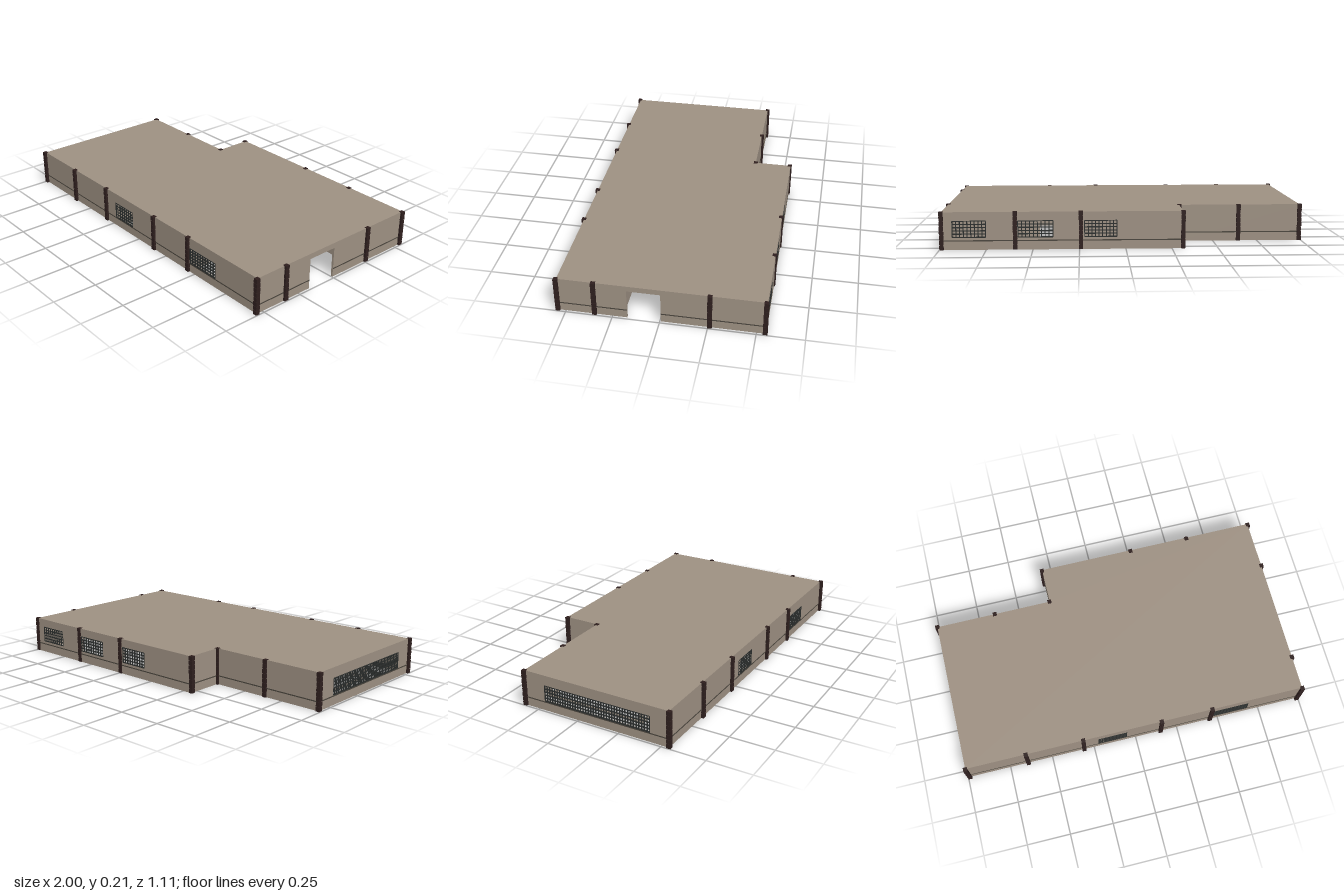
import * as THREE from 'three';
import { mergeGeometries } from 'three/addons/utils/BufferGeometryUtils.js';

export function createModel() {
  const model = new THREE.Group();
  const mat = (name, color) => new THREE.MeshStandardMaterial({ name, color });
  const stone = mat('taupe wall', 0x9d9082);
  const postMat = mat('dark brown post', 0x2e1f1e);
  const barMat = mat('charcoal bars', 0x2b2e2d);
  const bandMat = mat('grey band', 0x4a453d);

  const H = 0.2, T = 0.012;
  const E = 0.987, W = -0.988, F = 0.539, B = -0.55; // outer faces
  const NX = -0.308, NZ = -0.337; // notch corner

  // Box spanning a..b along an axis, centred on c across it
  const span = (axis, c, a, b, y0, y1, t) => {
    const g = axis === 'x'
      ? new THREE.BoxGeometry(b - a, y1 - y0, t)
      : new THREE.BoxGeometry(t, y1 - y0, b - a);
    const m = (a + b) / 2, y = (y0 + y1) / 2;
    return axis === 'x' ? g.translate(m, y, c) : g.translate(c, y, m);
  };
  const add = (name, parts, material) => {
    const mesh = new THREE.Mesh(mergeGeometries(parts), material);
    mesh.name = name;
    model.add(mesh);
  };

  // Wall pieces around openings given as [start, end, sill, head], in order
  const wallParts = (axis, c, a, b, openings = []) => {
    const parts = [];
    let at = a;
    for (const [s, e, sill, head] of openings) {
      if (s > at) parts.push(span(axis, c, at, s, 0, H, T));
      if (sill > 0) parts.push(span(axis, c, s, e, 0, sill, T));
      if (head < H) parts.push(span(axis, c, s, e, head, H, T));
      at = e;
    }
    if (b > at) parts.push(span(axis, c, at, b, 0, H, T));
    return parts;
  };

  // Window lattice of crossing bars
  const lattice = (axis, c, [a, b, y0, y1], pitch) => {
    const parts = [], w = 0.005;
    const cols = Math.round((b - a) / pitch), rows = 5;
    for (let i = 0; i <= cols; i++) {
      const p = a + (b - a) * i / cols;
      parts.push(span(axis, c, p - w / 2, p + w / 2, y0, y1, 0.005));
    }
    for (let j = 0; j <= rows; j++) {
      const y = y0 + (y1 - y0) * j / rows;
      parts.push(span(axis, c, a, b, y - w / 2, y + w / 2, 0.006));
    }
    return parts;
  };

  // Outer walls: out is the direction of the outside
  const outer = [
    { name: 'front', axis: 'x', face: F, out: 1, a: W, b: E, pitch: 0.02,
      holes: [[-0.22, -0.055, 0.055, 0.145], [0.465, 0.672, 0.055, 0.142]] },
    { name: 'back', axis: 'x', face: B, out: -1, a: NX, b: E, pitch: 0.02,
      holes: [[0.048, 0.222, 0.068, 0.156], [0.392, 0.58, 0.068, 0.156], [0.752, 0.93, 0.068, 0.156]] },
    { name: 'notchBack', axis: 'x', face: NZ, out: -1, a: W, b: NX, holes: [] },
    { name: 'notchSide', axis: 'z', face: NX, out: -1, a: B, b: NZ, holes: [] },
    { name: 'leftSide', axis: 'z', face: E, out: 1, a: B, b: F, holes: [[-0.005, 0.172, 0, 0.174]] },
    { name: 'rightSide', axis: 'z', face: W, out: -1, a: NZ, b: F, pitch: 0.016,
      holes: [[-0.21, 0.43, 0.055, 0.145]] },
  ];
  for (const { name, axis, face, out, a, b, holes, pitch } of outer) {
    add(name + 'Wall', wallParts(axis, face - out * T / 2, a, b, holes), stone);
    if (pitch) {
      add(name + 'WindowBars', holes.flatMap((h) => lattice(axis, face - out * 0.002, h, pitch)), barMat);
    }
    // Thin string course outside, broken at the doorway
    const door = holes.find((h) => h[2] === 0);
    const runs = door ? [[a, door[0]], [door[1], b]] : [[a, b]];
    add(name + 'Band', runs.map(([s, e]) => span(axis, face, s, e, 0.0465, 0.0525, 0.003)), bandMat);
  }

  // Flat L-shaped roof
  const outline = [[W, F], [E, F], [E, B], [NX, B], [NX, NZ], [W, NZ]];
  const shape = new THREE.Shape(outline.map(([x, z]) => new THREE.Vector2(x, -z)));
  const roof = new THREE.ExtrudeGeometry(shape, { depth: 0.005, bevelEnabled: false });
  roof.rotateX(-Math.PI / 2).translate(0, H, 0);
  add('roof', [roof], stone);

  // Inner partitions with doorways
  const D = 0.15;
  const partitions = [
    ['x', -0.18, -0.04, E, [[0.38, 0.48, 0, D]]],
    ['x', -0.055, NX, -0.04, [[-0.22, -0.12, 0, D]]],
    ['x', 0.2, -0.2, E, [[-0.1, 0, 0, D], [0.25, 0.34, 0, D], [0.62, 0.72, 0, D]]],
    ['z', -0.04, B, -0.055],
    ['z', 0.45, 0.2, F],
    ['z', 0.15, 0.2, F],
    ['z', 0.2, -0.18, 0.2, [[-0.14, -0.03, 0, D]]],
    ['z', -0.2, -0.055, F, [[0.28, 0.38, 0, D]]],
    ['z', NX, NZ, -0.055],
  ];
  add('partitions', partitions.flatMap((p) => wallParts(...p)), stone);

  // Open frame in the large end room: floor curb, ceiling beams, posts
  const frame = [], xs = [-0.85, -0.36], zs = [-0.28, 0.3];
  for (const [y0, y1, t] of [[0, 0.012, 0.014], [0.155, H, 0.02]]) {
    for (const z of zs) frame.push(span('x', z, xs[0], xs[1], y0, y1, t));
    for (const x of xs) frame.push(span('z', x, zs[0], zs[1], y0, y1, t));
  }
  for (const x of xs) {
    for (const z of zs) frame.push(span('x', z, x - 0.01, x + 0.01, 0, H, 0.02));
  }
  add('roomFrame', frame, stone);

  // Posts of stacked blocks around the outside
  const posts = [
    [-0.989, 0.542], [-0.643, 0.542], [-0.31, 0.54], [0.15, 0.54], [0.45, 0.54], [0.988, 0.542],
    [0.988, 0.345], [0.988, -0.26], [0.988, -0.545], [0.595, -0.545], [0.242, -0.545],
    [-0.31, -0.545], [-0.31, -0.337], [-0.643, -0.337], [-0.989, -0.337],
  ];
  const blocks = 8, step = 0.209 / blocks;
  for (const [x, z] of posts) {
    const parts = [new THREE.BoxGeometry(0.018, 0.207, 0.019).translate(x, 0.1035, z)];
    for (let i = 0; i < blocks; i++) {
      parts.push(new THREE.BoxGeometry(0.023, step - 0.004, 0.024).translate(x, (i + 0.5) * step, z));
    }
    add('post', parts, postMat);
  }
  return model;
}
